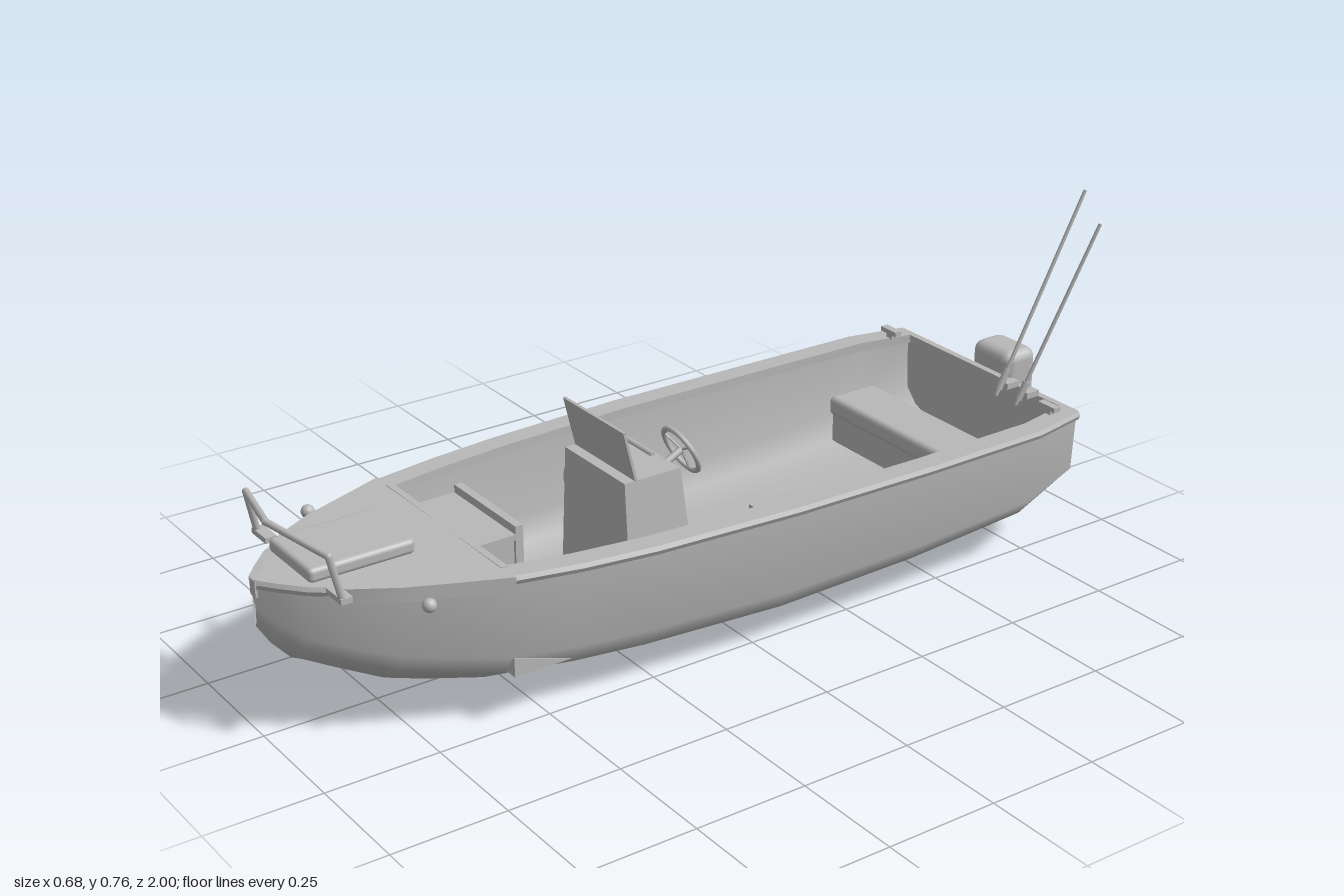
import * as THREE from 'three';
import { toCreasedNormals } from 'three/addons/utils/BufferGeometryUtils.js';
import { RoundedBoxGeometry } from 'three/addons/geometries/RoundedBoxGeometry.js';

// hull stations: z, half width at sheer, sheer height, keel height
const STATIONS = [
  [-0.85, 0.295, 0.325, 0.09], [-0.71, 0.323, 0.325, 0.04], [-0.4, 0.327, 0.325, 0.014],
  [-0.05, 0.325, 0.328, 0.002], [0.28, 0.305, 0.33, 0.012], [0.44, 0.285, 0.332, 0.02],
  [0.58, 0.258, 0.335, 0.03], [0.7, 0.21, 0.337, 0.057], [0.78, 0.178, 0.339, 0.08],
  [0.87, 0.127, 0.341, 0.125], [0.93, 0.083, 0.342, 0.155], [0.97, 0.04, 0.343, 0.2], [0.998, 0.006, 0.344, 0.245],
];
// half cross-section as fractions of width and depth, sheer to keel
const SECTION = [[1, 1], [0.975, 0.41], [0.86, 0.255], [0.52, 0.09], [0, 0]];
const FLOOR = 0.1;

export function createModel() {
  const model = new THREE.Group();
  const grey = new THREE.MeshStandardMaterial({ color: 0xb8b8b8, side: THREE.DoubleSide });
  grey.name = 'boat grey';
  const add = (name, geo, x = 0, y = 0, z = 0, parent = model) => {
    const m = new THREE.Mesh(geo, grey);
    m.name = name;
    m.position.set(x, y, z);
    parent.add(m);
    return m;
  };
  const box = (name, x0, x1, y0, y1, z0, z1, r = 0) => add(name,
    r ? new RoundedBoxGeometry(x1 - x0, y1 - y0, z1 - z0, 2, r) : new THREE.BoxGeometry(x1 - x0, y1 - y0, z1 - z0),
    (x0 + x1) / 2, (y0 + y1) / 2, (z0 + z1) / 2);
  const V = (x, y, z) => new THREE.Vector3(x, y, z);
  const rod = (name, a, b, r0, r1 = r0, sides = 8) => {
    const m = add(name, new THREE.CylinderGeometry(r1, r0, a.distanceTo(b), sides));
    m.position.copy(a).lerp(b, 0.5);
    m.quaternion.setFromUnitVectors(V(0, 1, 0), b.clone().sub(a).normalize());
    return m;
  };

  // station values interpolated at any z
  const at = (z) => {
    let i = 0;
    while (i < STATIONS.length - 2 && z > STATIONS[i + 1][0]) i++;
    const a = STATIONS[i], b = STATIONS[i + 1], t = (z - a[0]) / (b[0] - a[0]);
    return [1, 2, 3].map((k) => a[k] + (b[k] - a[k]) * t);
  };
  // full cross-section; inset moves it inside the shell
  const section = (z, inset = 0) => {
    const [w, s, k] = at(z), floor = k + inset * 0.65;
    const half = SECTION.map(([fx, fy]) => [fx * (w - inset), floor + fy * (s - floor)]);
    return [...half, ...half.slice(0, -1).reverse().map(([x, y]) => [-x, y])];
  };
  // inner cross-section, levelled off at the cockpit floor
  const liner = (z) => section(z, 0.032).map(([x, y]) => [x, Math.max(y, FLOOR)]);
  // skin stretched over one row of points per z
  const loft = (zs, rowAt) => {
    const pos = [], index = [];
    zs.forEach((z, r) => {
      const row = rowAt(z), n = row.length;
      row.forEach(([x, y]) => pos.push(x, y, z));
      if (r) for (let i = 0; i < n - 1; i++) {
        const a = (r - 1) * n + i, b = r * n + i;
        index.push(a, a + 1, b, a + 1, b + 1, b);
      }
    });
    const g = new THREE.BufferGeometry();
    g.setAttribute('position', new THREE.Float32BufferAttribute(pos, 3));
    g.setIndex(index);
    g.computeVertexNormals();
    return g;
  };
  const panel = (pts) => new THREE.ShapeGeometry(new THREE.Shape(pts.map((p) => new THREE.Vector2(...p))));

  // hull skin, cockpit liner and end walls
  const zs = STATIONS.map((s) => s[0]);
  const cockpitZs = [-0.838, ...zs.filter((z) => z > -0.84 && z < 0.59)];
  add('hull', loft(zs, (z) => section(z)));
  add('cockpitLiner', loft(cockpitZs, liner));
  add('transom', panel(section(-0.85)), 0, 0, -0.85);
  add('transomInner', panel(liner(-0.838)), 0, 0, -0.838);
  add('foreBulkhead', panel(liner(0.58)), 0, 0, 0.58);
  box('transomCap', -0.295, 0.295, 0.318, 0.33, -0.852, -0.836);

  // gunwales with rubbing edge
  for (const s of [1, -1]) {
    const gunwale = loft(zs, (z) => {
      const [w, y] = at(z), inner = Math.max(0, w - 0.042);
      return [[inner, y - 0.015], [inner, y + 0.005], [w + 0.007, y + 0.005], [w + 0.012, y - 0.004],
        [w + 0.007, y - 0.014], [w - 0.004, y - 0.015]].map(([x, h]) => [s * x, h]);
    });
    add(s > 0 ? 'leftGunwale' : 'rightGunwale', toCreasedNormals(gunwale, 0.6));
  }

  // foredeck, with a deeper trim edge that stops short of the stem
  const deck = loft(zs.filter((z) => z > 0.57), (z) => {
    const [w, y] = at(z), out = z < 0.9 ? 0.014 : 0.002, drop = z < 0.9 ? 0.026 : 0.01;
    return [[w + out, y - drop], [w + out, y + 0.005], [0, y + 0.007], [-w - out, y + 0.005], [-w - out, y - drop]];
  });
  add('foredeck', toCreasedNormals(deck, 0.6));
  box('foredeckHatch', -0.088, 0.085, 0.345, 0.376, 0.69, 0.92, 0.01);
  box('deckLip', -0.225, 0.225, 0.318, 0.342, 0.57, 0.585);

  // stem fitting
  const stem = add('stemFitting', new THREE.ConeGeometry(0.012, 0.07, 8), 0, 0.28, 0.988);
  stem.rotation.x = Math.PI;
  box('bowRoller', -0.011, 0.011, 0.31, 0.346, 0.97, 0.999);

  // bow rail
  const railPts = [V(-0.176, 0.35, 0.9), V(-0.17, 0.442, 0.92), V(0, 0.457, 0.962), V(0.17, 0.442, 0.92), V(0.176, 0.35, 0.9)];
  for (let i = 0; i < 4; i++) rod('bowRail', railPts[i], railPts[i + 1], 0.0075);
  for (const p of railPts.slice(1, 4)) add('bowRailJoint', new THREE.SphereGeometry(0.0078, 8, 6), p.x, p.y, p.z);

  // paired fittings
  for (const s of [1, -1]) {
    const pair = (name, x, y, z, w, h, d) => add(name, new THREE.BoxGeometry(w, h, d), s * x, y, z);
    pair('bowRailFoot', 0.155, 0.348, 0.895, 0.06, 0.012, 0.025);
    pair('sternCleat', 0.27, 0.346, -0.79, 0.052, 0.011, 0.018);
    pair('cleatStand', 0.27, 0.335, -0.79, 0.02, 0.016, 0.012);
    add('navigationLight', new THREE.SphereGeometry(0.0145, 16, 12), s * 0.245, 0.322, 0.755);
    // spray fin: triangular wedge along the chine
    const fin = new THREE.Shape([new THREE.Vector2(0, 0), new THREE.Vector2(-0.13, 0), new THREE.Vector2(0, 0.042)]);
    const finGeo = new THREE.ExtrudeGeometry(fin, { depth: 0.03, bevelEnabled: false });
    const p = finGeo.attributes.position;
    for (let i = 0; i < p.count; i++) if (p.getZ(i) > 0.02 && p.getY(i) > 0.02) p.setZ(i, 0.004);
    finGeo.computeVertexNormals();
    const f = add('sprayFin', finGeo, s * 0.255, 0.113, 0.58);
    f.rotation.y = -Math.PI / 2;
    f.scale.z = s;
  }

  // seats and lockers
  box('sternBench', -0.25, 0.245, 0.12, 0.195, -0.72, -0.605);
  box('sternBenchCushion', -0.26, 0.255, 0.185, 0.232, -0.73, -0.597, 0.014);
  box('sideLocker', 0.065, 0.238, FLOOR, 0.195, -0.245, -0.135);
  box('sideLockerLid', 0.06, 0.242, 0.195, 0.21, -0.25, -0.13);
  box('bowStep', -0.225, 0.225, 0.13, 0.24, 0.44, 0.58);
  box('bowSeat', -0.165, 0.06, 0.2, 0.298, 0.45, 0.55);
  box('bowSeatLid', -0.172, 0.067, 0.298, 0.31, 0.455, 0.557);
  box('bowSeatBack', -0.172, 0.067, 0.22, 0.328, 0.438, 0.456);

  // console, narrower at the top
  const body = new THREE.BoxGeometry(0.26, 0.274, 0.165);
  const bp = body.attributes.position;
  for (let i = 0; i < bp.count; i++) if (bp.getY(i) > 0) {
    bp.setX(i, bp.getX(i) * 0.85);
    if (bp.getZ(i) < 0) bp.setZ(i, -0.055);
  }
  body.computeVertexNormals();
  add('console', body, 0, 0.237, 0.14);
  const screen = add('windscreen', new THREE.BoxGeometry(0.222, 0.118, 0.006), 0, 0.43, 0.208);
  screen.rotation.x = 0.24;
  rod('grabBar', V(-0.09, 0.376, 0.098), V(0.03, 0.376, 0.098), 0.006);

  // lifebuoy on the console's right side
  const buoy = add('lifebuoy', new THREE.TorusGeometry(0.047, 0.014, 10, 24), -0.135, 0.29, 0.15);
  buoy.rotation.y = Math.PI / 2;

  // steering wheel
  const wheel = new THREE.Group();
  wheel.name = 'steeringWheel';
  wheel.position.set(0.06, 0.386, 0.047);
  wheel.rotation.x = 0.42;
  model.add(wheel);
  add('wheelRim', new THREE.TorusGeometry(0.054, 0.006, 8, 24), 0, 0, 0, wheel);
  for (let i = 0; i < 3; i++) {
    const spoke = add('wheelSpoke', new THREE.BoxGeometry(0.004, 0.052, 0.004), 0, 0, 0, wheel);
    spoke.geometry.translate(0, 0.026, 0);
    spoke.rotation.z = i * Math.PI * 2 / 3 + Math.PI;
  }
  rod('steeringColumn', V(0.06, 0.386, 0.047), V(0.06, 0.36, 0.1), 0.008);

  // outboard motor
  box('motorCowl', -0.064, 0.063, 0.212, 0.38, -0.947, -0.855, 0.025);
  box('motorBracket', -0.03, 0.03, 0.22, 0.3, -0.875, -0.845);
  box('motorLeg', -0.014, 0.014, 0.05, 0.23, -0.92, -0.888);
  const skeg = new THREE.Shape([[-0.88, 0.075], [-0.96, 0.06], [-0.962, 0.012], [-0.885, 0.008]].map((p) => new THREE.Vector2(...p)));
  const skegMesh = add('motorSkeg', new THREE.ExtrudeGeometry(skeg, { depth: 0.012, bevelEnabled: false }), 0.006);
  skegMesh.rotation.y = -Math.PI / 2;
  skegMesh.scale.x = 1;
  rod('propellerHub', V(0, 0.08, -0.915), V(0, 0.08, -0.972), 0.008);
  box('propellerBlade', -0.008, 0.008, 0.042, 0.118, -0.968, -0.963);
  box('propellerCrossBlade', -0.024, 0.024, 0.073, 0.087, -0.968, -0.963);

  // fishing rods and their holders
  for (const [x0, x1, y1, z1] of [[0.105, 0.125, 0.762, -0.999], [0.17, 0.222, 0.72, -0.955]]) {
    const a = V(x0, 0.315, -0.785), b = V(x1, y1, z1);
    rod('fishingRod', a, b, 0.0045, 0.004);
    rod('rodHolder', a.clone().lerp(b, 0.03), a.clone().lerp(b, 0.13), 0.008);
    box('rodHolderFoot', x0 - 0.008, x0 + 0.014, 0.328, 0.342, -0.84, -0.805);
  }
  return model;
}
